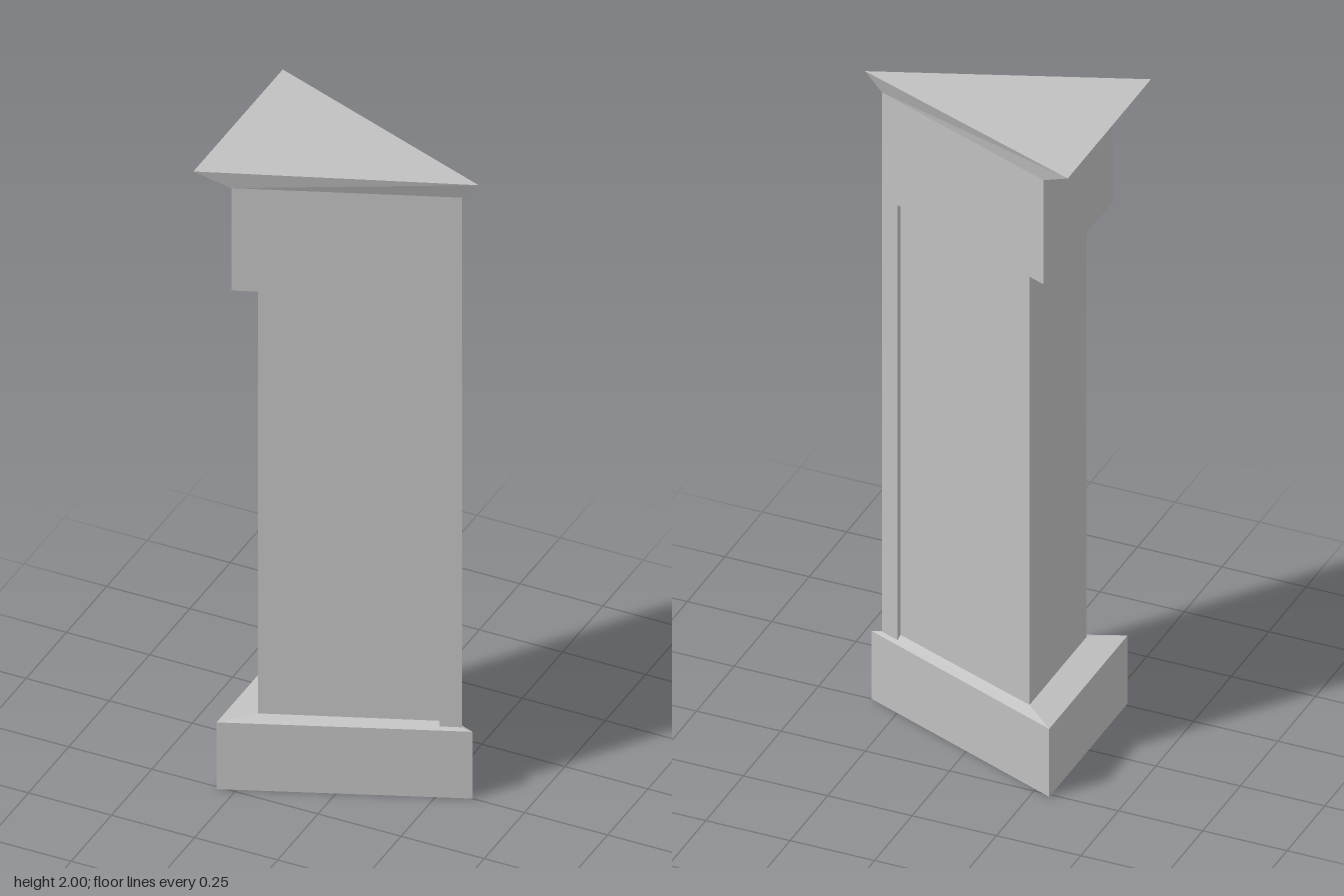
import * as THREE from 'three';

const stone = new THREE.MeshStandardMaterial({ color: 0xc0c0c0 });
stone.name = 'grey stone';

// Flat-faced stack of triangular sections, each [y, flat side x, point x, half width]
function triangularLoft(name, sections) {
  const rings = sections.map(([y, back, tip, half]) => [
    [tip, y, 0], [back, y, -half], [back, y, half],
  ]);
  const positions = [];
  const face = (...points) => points.forEach((p) => positions.push(...p));
  for (let i = 0; i < rings.length - 1; i++) {
    const lo = rings[i], hi = rings[i + 1];
    for (let j = 0; j < 3; j++) {
      const k = (j + 1) % 3;
      face(lo[j], lo[k], hi[k]);
      face(lo[j], hi[k], hi[j]);
    }
  }
  const bottom = rings[0], top = rings[rings.length - 1];
  face(bottom[0], bottom[2], bottom[1]);
  face(top[0], top[1], top[2]);

  const geometry = new THREE.BufferGeometry();
  geometry.setAttribute('position', new THREE.Float32BufferAttribute(positions, 3));
  geometry.computeVertexNormals();
  const mesh = new THREE.Mesh(geometry, stone);
  mesh.name = name;
  return mesh;
}

export function createModel() {
  const tower = new THREE.Group();
  tower.name = 'triangularTower';
  tower.add(
    // Plinth with a gently sloped top
    triangularLoft('plinth', [
      [0, -0.3, 0.343, 0.261],
      [0.217, -0.3, 0.343, 0.261],
      [0.23, -0.21, 0.268, 0.19],
    ]),
    // Recessed shaft
    triangularLoft('shaft', [
      [0.22, -0.21, 0.268, 0.19],
      [1.62, -0.21, 0.268, 0.19],
    ]),
    // Corner strip flush with the head
    triangularLoft('cornerStrip', [
      [0.217, 0.255, 0.312, 0.0225],
      [1.612, 0.255, 0.312, 0.0225],
    ]),
    // Overhanging head with a flared cornice
    triangularLoft('head', [
      [1.612, -0.27, 0.312, 0.231],
      [1.945, -0.27, 0.312, 0.231],
    ]),
    triangularLoft('cornice', [
      [1.945, -0.27, 0.312, 0.231],
      [2, -0.362, 0.362, 0.277],
    ]),
  );
  return tower;
}
